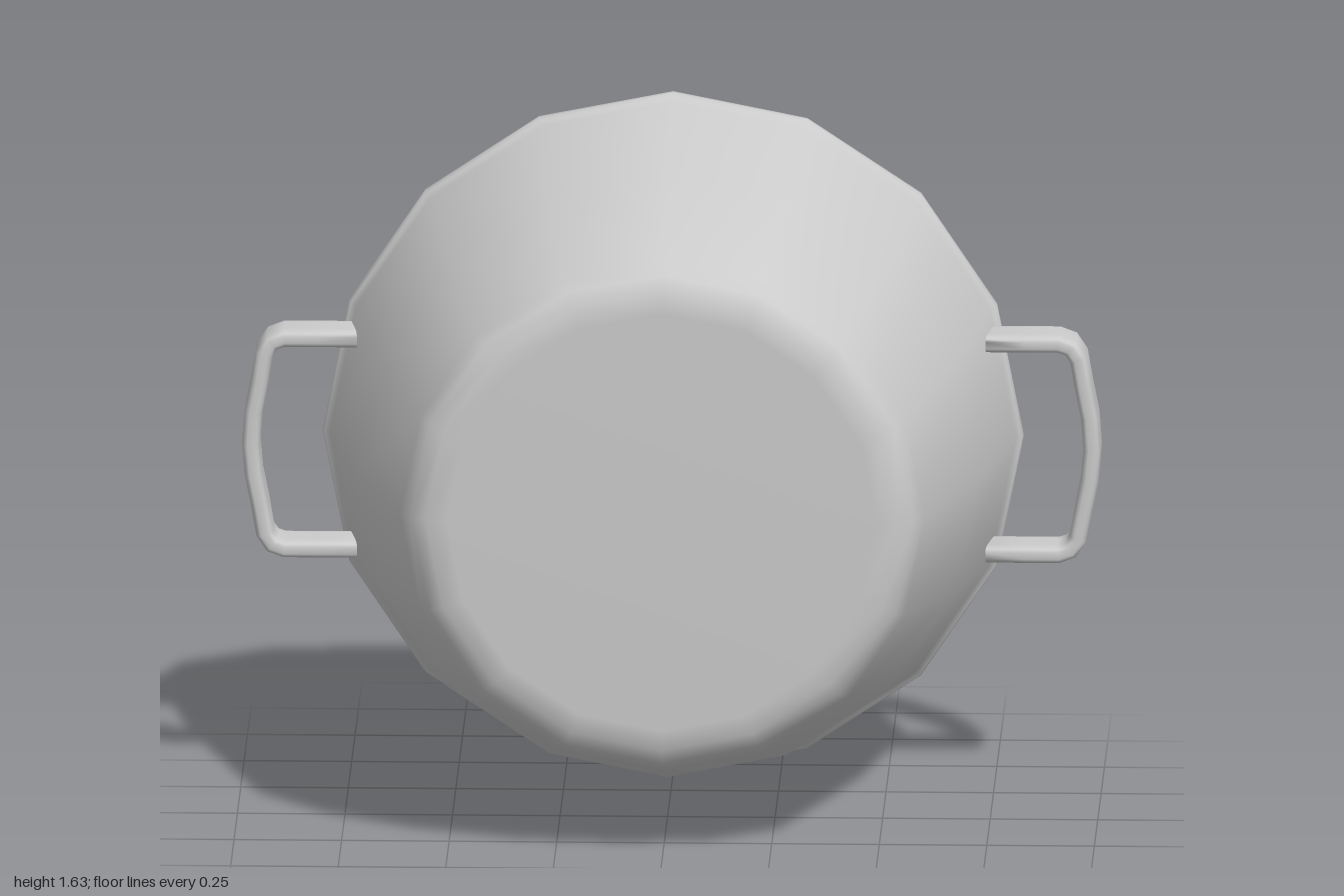
import * as THREE from 'three';

const CENTER_Y = 0.817;
const material = new THREE.MeshStandardMaterial({ color: 0xcccccc, side: THREE.DoubleSide });

// Pot body: profile [radius, distance along axis] from outer base, over the rim, to inner base
function makePot() {
  const profile = [
    [0, -0.44], [0.5, -0.44], [0.55, -0.43], [0.585, -0.41], [0.61, -0.37],
    [0.72, 0], [0.797, 0.395],
    [0.81, 0.402], [0.815, 0.415], [0.815, 0.43], [0.805, 0.44],
    [0.79, 0.44], [0.778, 0.432], [0.775, 0.415], [0.775, 0.395],
    [0.695, 0], [0.59, -0.36], [0.565, -0.39], [0.5, -0.415], [0, -0.415],
  ].map(([r, y]) => new THREE.Vector2(r, y));
  const geometry = new THREE.LatheGeometry(profile, 16);
  geometry.rotateX(-Math.PI / 2); // opening faces the back
  const pot = new THREE.Mesh(geometry, material);
  pot.name = 'pot';
  pot.position.y = CENTER_Y;
  return pot;
}

// Handle: a flat rounded strap section swept along a bracket-shaped path
function makeHandleGeometry() {
  const upper = [
    [0.74, 0.252], [0.82, 0.252], [0.9, 0.252], [0.928, 0.242],
    [0.946, 0.215], [0.957, 0.15], [0.972, 0.075],
  ];
  const path = [
    ...upper, [0.978, 0],
    ...upper.slice().reverse().map(([x, y]) => [x, -y]),
  ].map(([x, y]) => new THREE.Vector2(x, y));

  const halfWidth = 0.065, halfThick = 0.021, sides = 16;
  const positions = [], indices = [];
  path.forEach((p, i) => {
    const before = path[Math.max(i - 1, 0)];
    const after = path[Math.min(i + 1, path.length - 1)];
    const t = after.clone().sub(before).normalize();
    const isEnd = i === 0 || i === path.length - 1;
    for (let j = 0; j < sides; j++) {
      const a = (j + 0.5) / sides * Math.PI * 2;
      const c = Math.cos(a), s = Math.sin(a);
      const w = halfWidth * Math.sign(c) * Math.abs(c) ** 0.4;
      const h = halfThick * Math.sign(s) * Math.abs(s) ** 0.6;
      const slant = isEnd ? -0.15 * w : 0; // ends follow the sloping wall
      positions.push(p.x - t.y * h + slant, p.y + t.x * h, w);
    }
  });
  for (let i = 0; i < path.length - 1; i++) {
    for (let j = 0; j < sides; j++) {
      const k = (j + 1) % sides;
      const a = i * sides + j, b = i * sides + k;
      indices.push(a, b, a + sides, b, b + sides, a + sides);
    }
  }
  // Close both ends
  const last = (path.length - 1) * sides;
  for (let j = 1; j < sides - 1; j++) {
    indices.push(0, j + 1, j, last, last + j, last + j + 1);
  }
  const geometry = new THREE.BufferGeometry();
  geometry.setAttribute('position', new THREE.Float32BufferAttribute(positions, 3));
  geometry.setIndex(indices);
  geometry.computeVertexNormals();
  return geometry;
}

export function createModel() {
  const model = new THREE.Group();
  model.name = 'cookingPot';
  model.add(makePot());

  // Mirrored pair of handles just below the rim
  const handleGeometry = makeHandleGeometry();
  for (const [name, side] of [['leftHandle', 1], ['rightHandle', -1]]) {
    const handle = new THREE.Mesh(handleGeometry, material);
    handle.name = name;
    handle.scale.x = side;
    handle.position.set(0, CENTER_Y, -0.33);
    model.add(handle);
  }
  return model;
}
